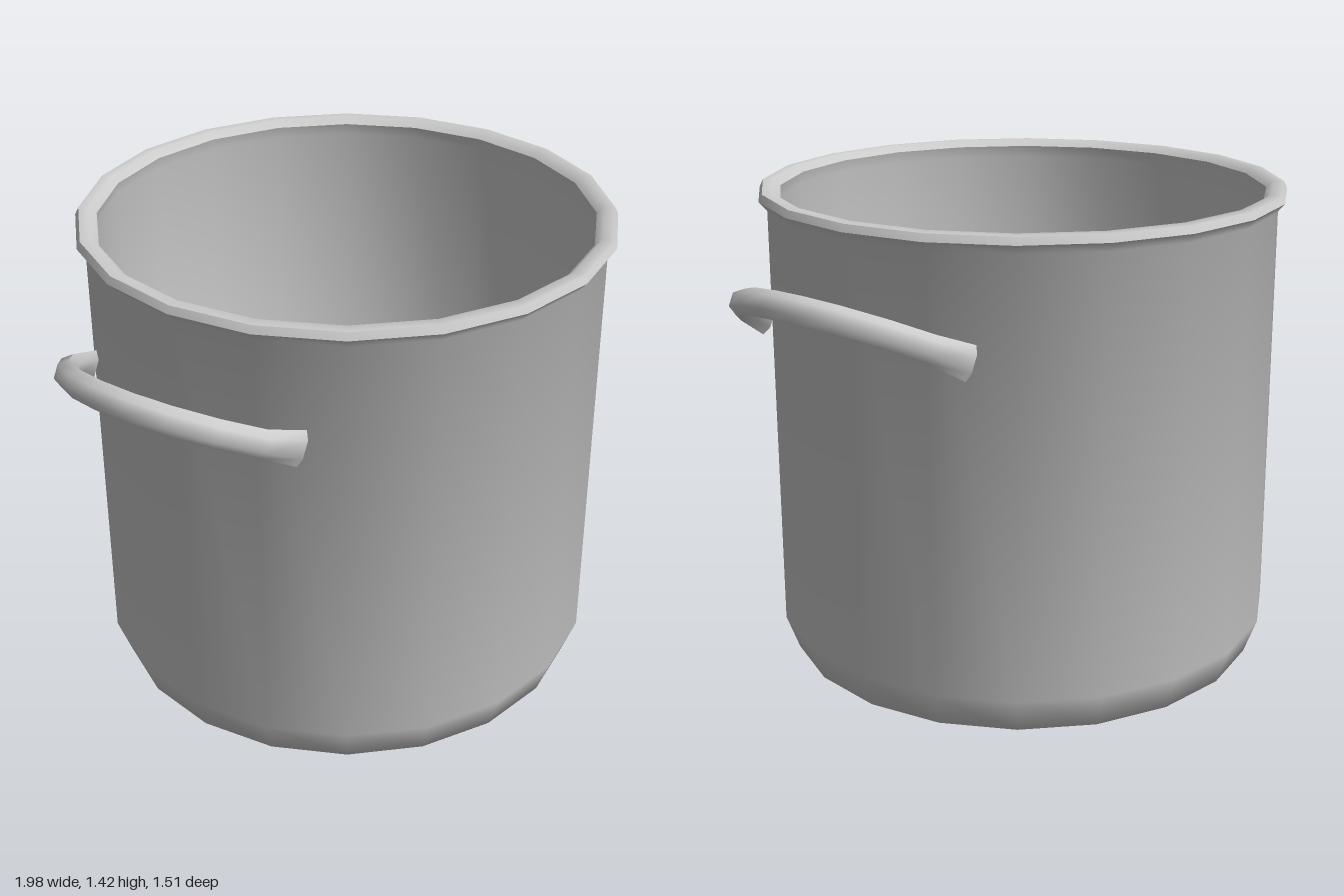
import * as THREE from 'three';
import { toCreasedNormals } from 'three/addons/utils/BufferGeometryUtils.js';

const material = new THREE.MeshStandardMaterial({ color: 0xcccccc });

// Flattened tube swept along a bowed path that lies in a plane tilted up and outwards
function handleGeometry() {
  const half = [[0.68, 0.355], [0.79, 0.325], [0.875, 0.25], [0.935, 0.15], [0.96, 0.05]]; // x, z
  const plan = [...half, ...half.slice().reverse().map(([x, z]) => [x, -z])];
  const path = plan.map(([x, z]) => new THREE.Vector3(x, 1.115 + (x - 0.7) * 0.52, z));
  const normal = new THREE.Vector3(-0.52, 1, 0).normalize();
  const sides = 6, last = path.length - 1;
  const positions = [], index = [];

  path.forEach((p, i) => {
    const tangent = path[Math.min(i + 1, last)].clone().sub(path[Math.max(i - 1, 0)]).normalize();
    const across = tangent.clone().cross(normal).normalize();
    const atEnd = i === 0 || i === last;
    const tall = atEnd ? 0.048 : 0.037, thick = atEnd ? 0.016 : 0.03;
    for (let j = 0; j < sides; j++) {
      const a = (j / sides) * Math.PI * 2;
      const v = p.clone()
        .addScaledVector(normal, Math.cos(a) * tall)
        .addScaledVector(across, Math.sin(a) * thick);
      positions.push(v.x, v.y, v.z);
    }
  });

  for (let i = 0; i < last; i++) {
    for (let j = 0; j < sides; j++) {
      const k = (j + 1) % sides;
      const a = i * sides + j, b = i * sides + k;
      index.push(a, b, a + sides, b, b + sides, a + sides);
    }
  }
  // End caps
  for (let j = 1; j < sides - 1; j++) {
    const e = last * sides;
    index.push(0, j + 1, j, e, e + j, e + j + 1);
  }

  const geometry = new THREE.BufferGeometry();
  geometry.setAttribute('position', new THREE.Float32BufferAttribute(positions, 3));
  geometry.setIndex(index);
  return toCreasedNormals(geometry, 1.15);
}

export function createModel() {
  const model = new THREE.Group();
  model.name = 'stockPot';

  // Pot wall: underside, rounded foot, outer wall, rolled rim, inner wall and floor
  const profile = [
    [0, 0.004], [0.59, 0.004], [0.70, 0.045], [0.737, 0.148], [0.732, 1.375],
    [0.755, 1.402], [0.745, 1.422], [0.715, 1.424], [0.695, 1.405],
    [0.705, 1.37], [0.71, 0.16], [0.675, 0.07], [0.58, 0.03], [0, 0.03],
  ].map(([r, y]) => new THREE.Vector2(r, y));
  const pot = new THREE.Mesh(toCreasedNormals(new THREE.LatheGeometry(profile, 20), 0.95), material);
  pot.name = 'pot';
  model.add(pot);

  // Two side handles, the second turned half way round
  const handle = handleGeometry();
  ['leftHandle', 'rightHandle'].forEach((name, i) => {
    const mesh = new THREE.Mesh(handle, material);
    mesh.name = name;
    mesh.rotation.y = i * Math.PI;
    model.add(mesh);
  });

  return model;
}
